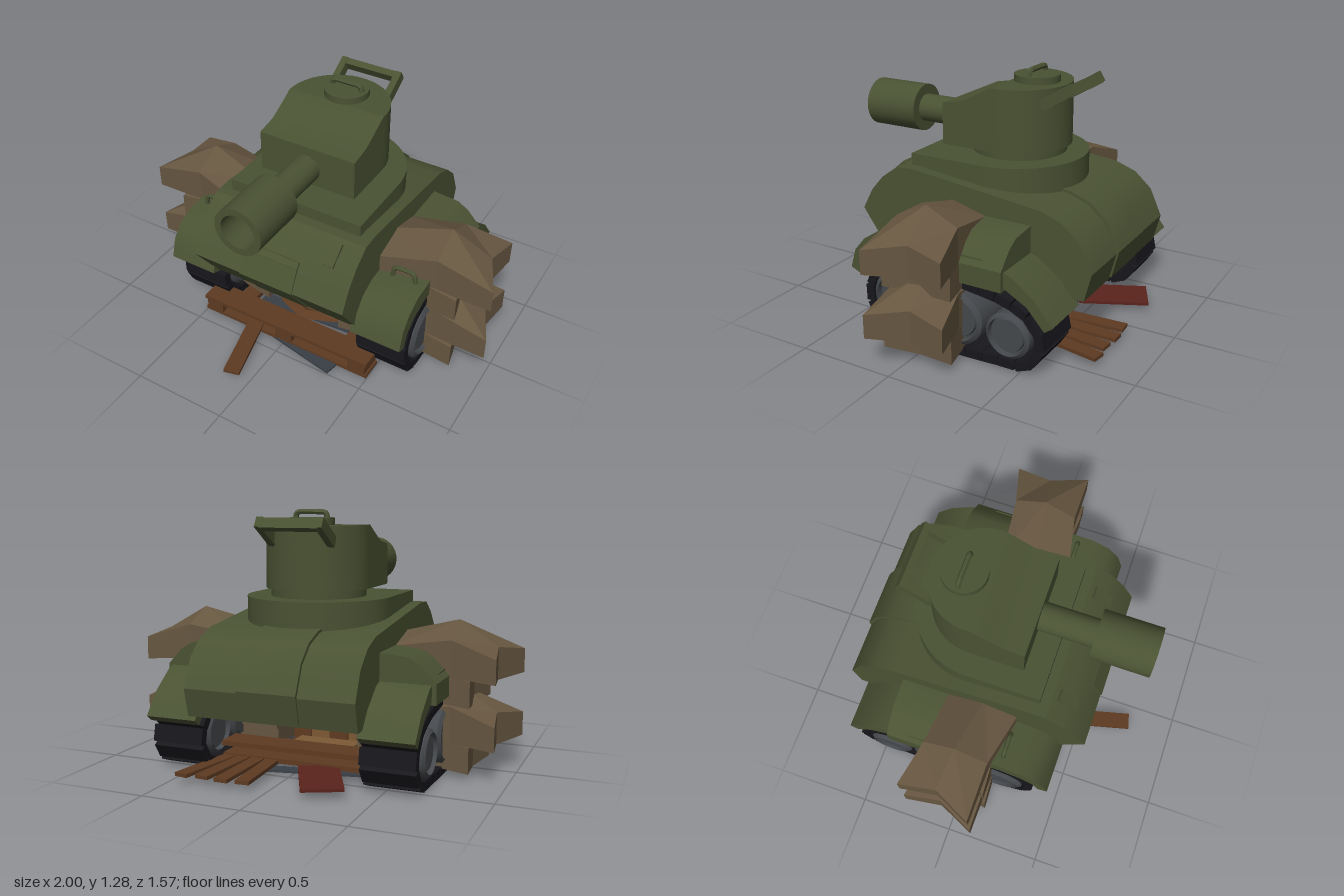
import * as THREE from 'three';
import { toCreasedNormals } from 'three/addons/utils/BufferGeometryUtils.js';

const mat = (color, flatShading = false) => new THREE.MeshStandardMaterial({ color, flatShading });
const GREEN = mat(0x4a5233), BAG = mat(0x665640, true), TRACK = mat(0x17171c), STEEL = mat(0x45484c);
const WOOD = mat(0x5e3b22), PALE = mat(0x7d5a35), RED = mat(0x5a231c), SLATE = mat(0x3a3f47);

function add(parent, name, geo, material, x = 0, y = 0, z = 0) {
  const m = new THREE.Mesh(toCreasedNormals(geo, 0.55), material);
  m.name = name;
  m.position.set(x, y, z);
  parent.add(m);
  return m;
}
const box = (w, h, d) => new THREE.BoxGeometry(w, h, d);
const cyl = (r, h, n = 32) => new THREE.CylinderGeometry(r, r, h, n);

// Side profile of [z, y] points, extruded across x and centred
function sideProfile(points, width) {
  const shape = new THREE.Shape(points.map(p => new THREE.Vector2(...p)));
  return new THREE.ExtrudeGeometry(shape, { depth: width, bevelEnabled: false })
    .translate(0, 0, -width / 2).rotateY(-Math.PI / 2);
}

// Plan with a straight front and a half-round back, extruded up
function dPlan(r, front, centre, y0, y1) {
  const s = new THREE.Shape();
  s.moveTo(-r, -front);
  s.lineTo(r, -front);
  s.lineTo(r, -centre);
  s.absarc(0, -centre, r, 0, Math.PI);
  return new THREE.ExtrudeGeometry(s, { depth: y1 - y0, bevelEnabled: false, curveSegments: 20 })
    .rotateX(-Math.PI / 2).translate(0, y0, 0);
}

// Bent rod through a few points
function rod(points, r) {
  const path = new THREE.CurvePath();
  const v = points.map(p => new THREE.Vector3(...p));
  for (let i = 1; i < v.length; i++) path.add(new THREE.LineCurve3(v[i - 1], v[i]));
  return new THREE.TubeGeometry(path, 40, r, 6);
}

// Faceted bag: sections are [x, zMin, zMax, bottom, shoulder, peak]
function bagGeometry(sections, dent, skew) {
  const rings = sections.map(([x, a, b, lo, sh, pk], i) => {
    const m = (a + b) / 2, end = i === sections.length - 1 ? 1 : 0;
    return [[x - skew * end, lo, a], [x - skew * end, sh, a], [x - dent * end, pk, m],
      [x, sh, b], [x, lo, b], [x - dent * end, lo - 0.01, m]];
  });
  const pos = [];
  const tri = (...t) => t.forEach(p => pos.push(...p));
  for (let i = 0; i < rings.length - 1; i++) {
    for (let j = 0; j < 6; j++) {
      const k = (j + 1) % 6, a = rings[i], b = rings[i + 1];
      tri(a[j], a[k], b[k]);
      tri(a[j], b[k], b[j]);
    }
  }
  const cap = (ring, s, inset, flip) => {
    const c = [s[0] - inset, (s[3] + s[4]) / 2, (s[1] + s[2]) / 2];
    ring.forEach((p, j) => flip ? tri(c, ring[(j + 1) % 6], p) : tri(c, p, ring[(j + 1) % 6]));
  };
  cap(rings[0], sections[0], 0, true);
  cap(rings.at(-1), sections.at(-1), dent, false);
  const g = new THREE.BufferGeometry();
  g.setAttribute('position', new THREE.Float32BufferAttribute(pos, 3));
  g.computeVertexNormals();
  return g;
}

function buildHull(g) {
  const rear = [[-0.47, 0.71], [-0.58, 0.67], [-0.67, 0.59], [-0.735, 0.45], [-0.70, 0.31]];
  add(g, 'hull', sideProfile([[0.40, 0.31], [0.56, 0.53], [0.50, 0.64], [0.43, 0.72], [0.34, 0.785],
    [0.24, 0.79], ...rear], 0.86), GREEN);
  add(g, 'rearPanel', sideProfile([[-0.3, 0.74], ...rear.map(([z, y]) => [z - 0.013, y + 0.012]),
    [-0.5, 0.33]], 0.30), GREEN);
  add(g, 'frontPanel', sideProfile([[0.42, 0.325], [0.566, 0.53], [0.51, 0.645], [0.42, 0.62]], 0.30), GREEN);
  add(g, 'visor', box(0.30, 0.035, 0.03), GREEN, 0, 0.652, 0.487).rotation.x = -0.7;
  for (const s of [-1, 1])
    add(g, 'frontLug', box(0.065, 0.12, 0.02), GREEN, s * 0.29, 0.735, 0.415).rotation.x = -0.85;
  add(g, 'turretPlate', dPlan(0.37, 0.29, -0.10, 0.68, 0.85), GREEN);
}

function buildTurret(g) {
  add(g, 'turretRing', cyl(0.24, 0.06, 40), GREEN, 0, 0.87, -0.12);
  add(g, 'turretFront', sideProfile([[0.17, 0.89], [0.17, 1.10], [0.06, 1.12], [-0.02, 1.16],
    [-0.10, 1.205], [-0.12, 1.205], [-0.12, 0.89]], 0.53), GREEN);
  add(g, 'turretBack', dPlan(0.265, -0.12, -0.12, 0.89, 1.205), GREEN);
  add(g, 'hatch', cyl(0.115, 0.05), GREEN, 0, 1.215, -0.215);
  add(g, 'hatchHandle', rod([[-0.085, 1.23, -0.215], [-0.08, 1.26, -0.215], [-0.065, 1.268, -0.215],
    [0.065, 1.268, -0.215], [0.08, 1.26, -0.215], [0.085, 1.23, -0.215]], 0.014), GREEN);
  // Tilted rear rail
  const tilt = 0.55;
  for (const s of [-1, 1])
    add(g, 'railArm', box(0.035, 0.055, 0.19), GREEN, s * 0.155, 1.175, -0.405).rotation.x = tilt;
  add(g, 'railBar', box(0.30, 0.055, 0.035), GREEN, 0, 1.212, -0.472).rotation.x = tilt;
  // Gun with a hollow muzzle
  const p = [[0, 0.12], [0.073, 0.12], [0.073, 0.45], [0.125, 0.45], [0.125, 0.75], [0.09, 0.75],
    [0.09, 0.58], [0, 0.58]].map(q => new THREE.Vector2(...q));
  add(g, 'gun', new THREE.LatheGeometry(p, 32).rotateX(Math.PI / 2), GREEN, 0, 0.98, 0);
}

// Everything on the +x side: fender, running gear and bags
function buildSide(g) {
  add(g, 'fender', sideProfile([[0.45, 0.32], [0.42, 0.42], [0.36, 0.49], [0.27, 0.53], [0.1, 0.54],
    [-0.3, 0.53], [-0.46, 0.48], [-0.58, 0.39], [-0.67, 0.28], [-0.63, 0.25], [-0.54, 0.35],
    [-0.43, 0.41], [-0.25, 0.44], [0.2, 0.45], [0.31, 0.42], [0.37, 0.37], [0.40, 0.30]], 0.27), GREEN, 0.548);
  add(g, 'fenderHandle', rod([[0.5, 0.52, 0.19], [0.51, 0.58, 0.19], [0.53, 0.592, 0.19],
    [0.60, 0.592, 0.19], [0.62, 0.58, 0.19], [0.63, 0.52, 0.19]], 0.012), GREEN);
  const s = new THREE.Shape([[0.4, 0.4], [0.705, 0.4], [0.705, 0.5], [0.63, 0.58], [0.57, 0.615],
    [0.4, 0.63]].map(q => new THREE.Vector2(...q)));
  add(g, 'stowageBox', new THREE.ExtrudeGeometry(s, { depth: 0.36, bevelEnabled: false }), GREEN, 0, 0, -0.42);

  // Track pads spaced evenly round a closed loop
  const loop = new THREE.CatmullRomCurve3([[0.345, 0.2], [0.29, 0.34], [0.18, 0.395], [0, 0.395],
    [-0.25, 0.37], [-0.42, 0.34], [-0.54, 0.28], [-0.6, 0.16], [-0.53, 0.05], [-0.35, 0.03],
    [0.1, 0.03], [0.28, 0.06]].map(([z, y]) => new THREE.Vector3(0, y, z)), true);
  const pads = 26;
  for (let i = 0; i < pads; i++) {
    const p = loop.getPointAt(i / pads), t = loop.getTangentAt(i / pads);
    add(g, 'trackPad', box(0.27, 0.045, 0.083), TRACK, 0.54, p.y, p.z).rotation.x = Math.atan2(-t.y, t.z);
  }
  for (const [z, y, r] of [[0.16, 0.215, 0.15], [-0.17, 0.2, 0.135], [-0.44, 0.18, 0.115]]) {
    const p = [[0, -0.13], [0.7 * r, -0.13], [0.74 * r, -0.115], [0.82 * r, -0.115], [0.85 * r, -0.145],
      [r, -0.13], [r, 0.13], [0.85 * r, 0.145], [0.82 * r, 0.115], [0.74 * r, 0.115], [0.7 * r, 0.13],
      [0, 0.13]].map(q => new THREE.Vector2(...q));
    add(g, 'roadWheel', new THREE.LatheGeometry(p, 28).rotateZ(-Math.PI / 2), STEEL, 0.548, y, z);
  }

  // Two large flared bags, each over a smaller one
  for (const [dy, inner] of [[0, 0.40], [-0.32, 0.22]]) {
    const big = [[inner, -0.17, 0.2, 0.46, 0.62, 0.67], [0.71, -0.2, 0.135, 0.49, 0.67, 0.75],
      [1.0, -0.26, 0.13, 0.48, 0.6, 0.63]];
    add(g, 'largeBag', bagGeometry(big, 0.09, 0.06), BAG, 0, dy, 0);
    const small = [[inner, -0.15, 0.23, 0.40, 0.53, 0.55], [0.65, -0.19, 0.14, 0.38, 0.52, 0.55],
      [0.83, -0.22, 0.15, 0.37, 0.5, 0.53]];
    add(g, 'smallBag', bagGeometry(small, 0.04, 0.02), BAG, 0, dy - 0.02, 0);
  }
}

// Broken pallets and planks lying under the belly
function buildDebris(g) {
  const plank = (name, m, w, h, d, x, y, z, ry = 0, rz = 0) =>
    add(g, name, box(w, h, d), m, x, y, z).rotation.set(0, ry, rz);
  plank('frontBeam', WOOD, 1.0, 0.022, 0.13, 0, 0.1, 0.37);
  for (const x of [-0.44, 0, 0.44]) plank('beamFoot', WOOD, 0.1, 0.08, 0.12, x, 0.05, 0.37);
  plank('lowerBeam', WOOD, 1.0, 0.02, 0.12, 0, 0.02, 0.37);
  plank('loosePlank', WOOD, 0.085, 0.018, 0.5, -0.16, 0.03, 0.52, 0.25);
  plank('rearBeam', WOOD, 0.8, 0.025, 0.15, 0, 0.115, -0.36);
  plank('rearLowerBeam', WOOD, 0.8, 0.025, 0.12, 0, 0.05, -0.36);
  for (const [i, x] of [0.12, 0.21, 0.3, 0.39].entries())
    plank('rearPlank', WOOD, 0.07, 0.018, 0.42, x, 0.045, -0.57 - 0.01 * (i % 2), -0.08 * i + 0.06);
  plank('redPlank', RED, 0.2, 0.015, 0.36, -0.2, 0.045, -0.58, 0.45);
  for (const s of [-1, 1]) plank('palletSide', WOOD, 0.09, 0.03, 0.75, s * 0.33, 0.04, 0);
  for (let i = 0; i < 8; i++)
    plank('slateSlat', SLATE, 0.65, 0.012, 0.07, 0.05 * (i % 3 - 1), 0.012, -0.4 + i * 0.115, 0.2 - 0.13 * (i % 4));
  const ring = new THREE.TorusGeometry(0.2, 0.05, 4, 8).rotateX(Math.PI / 2).scale(1, 0.5, 1);
  add(g, 'woodenRing', ring, WOOD, 0, 0.027, 0);
  plank('palletPanel', PALE, 0.34, 0.02, 0.34, 0, 0.05, 0);
  // Upright boards behind the front beam
  for (let i = 0; i < 4; i++) plank('uprightBoard', i % 2 ? WOOD : PALE, 0.1, 0.27, 0.02, -0.15 + i * 0.105, 0.18, 0.05);
  plank('brace', WOOD, 0.36, 0.05, 0.03, 0.02, 0.19, 0.08, 0, 0.75);
}

export function createModel() {
  const model = new THREE.Group();
  model.name = 'tank';
  const group = (name, build) => {
    const g = new THREE.Group();
    g.name = name;
    build(g);
    model.add(g);
    return g;
  };
  group('hullGroup', buildHull);
  group('turret', buildTurret);
  group('leftSide', buildSide);
  group('rightSide', buildSide).scale.x = -1;
  group('debris', buildDebris);
  return model;
}
